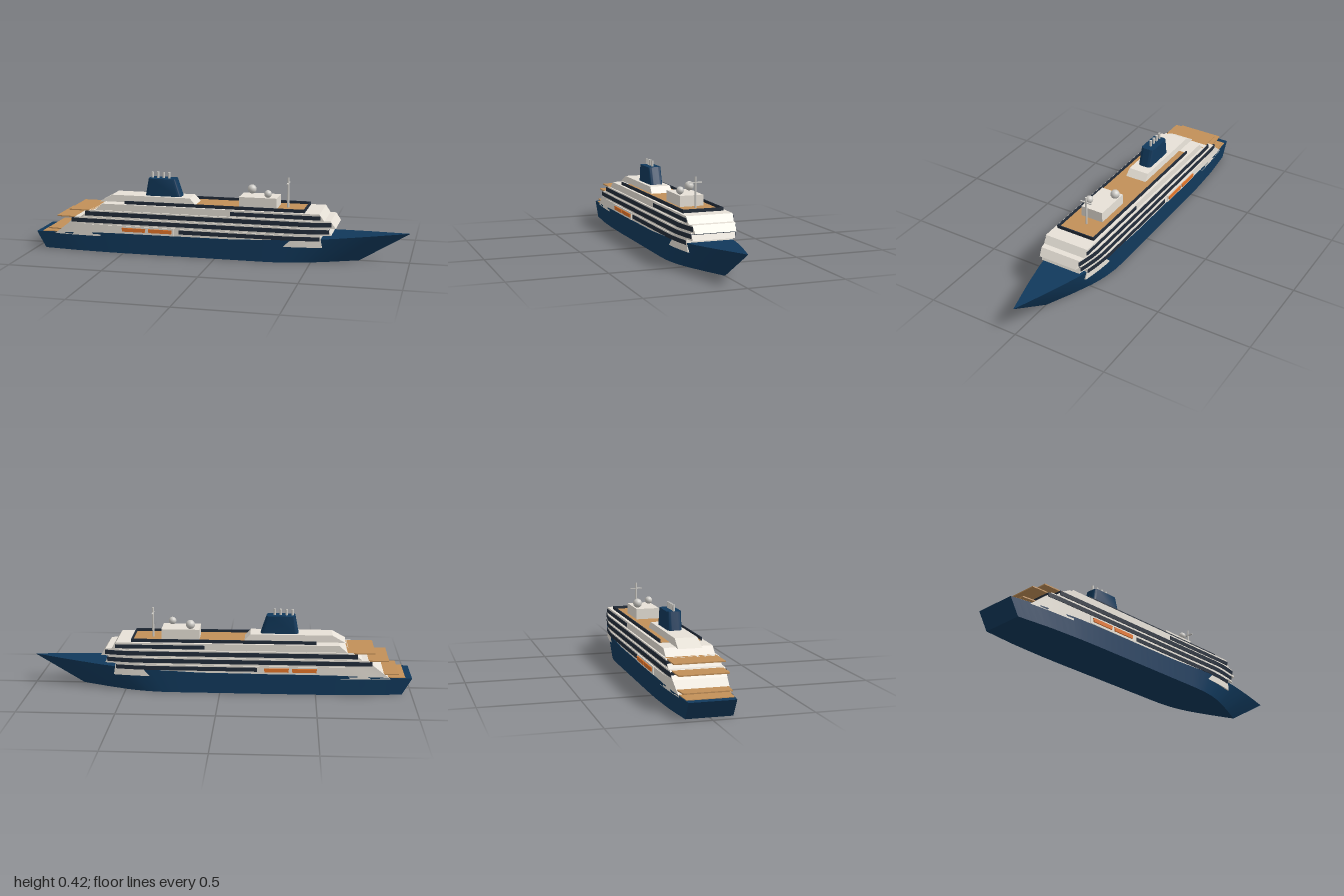
import * as THREE from 'three';
import { toCreasedNormals } from 'three/addons/utils/BufferGeometryUtils.js';

const mat = (name, color, side = THREE.FrontSide) => {
  const m = new THREE.MeshStandardMaterial({ color, side });
  m.name = name;
  return m;
};

// Linear lookup in a short list of [x, value] points
const lookup = (pts) => (x) => {
  for (let i = 1; i < pts.length; i++) {
    const [x0, v0] = pts[i - 1], [x1, v1] = pts[i];
    if (x <= x1) return v0 + (v1 - v0) * Math.max(0, (x - x0) / (x1 - x0));
  }
  return pts[pts.length - 1][1];
};
const beam = lookup([[-1, 0.115], [-0.8, 0.134], [-0.6, 0.143], [-0.45, 0.145], [0.28, 0.145],
  [0.38, 0.142], [0.48, 0.133], [0.56, 0.12], [0.63, 0.106], [0.8, 0.061], [1, 0.0005]]);
const sheer = lookup([[-1, 0.088], [-0.6, 0.106], [0.1, 0.109], [0.35, 0.12], [0.6, 0.132], [1, 0.156]]);

// Closed solid through four-cornered sections; section(t) gives bottom and top [x, y, halfWidth]
function loft(n, section) {
  const pos = [], index = [];
  for (let i = 0; i <= n; i++) {
    const [[xb, yb, wb], [xt, yt, wt]] = section(i / n);
    pos.push(xb, yb, wb, xb, yb, -wb, xt, yt, -wt, xt, yt, wt);
  }
  for (let i = 0; i < n; i++) {
    for (let j = 0; j < 4; j++) {
      const a = i * 4 + j, b = i * 4 + (j + 1) % 4;
      index.push(a, b, b + 4, a, b + 4, a + 4);
    }
  }
  const e = n * 4;
  index.push(0, 2, 1, 0, 3, 2, e, e + 1, e + 2, e, e + 2, e + 3);
  const g = new THREE.BufferGeometry();
  g.setAttribute('position', new THREE.Float32BufferAttribute(pos, 3));
  g.setIndex(index);
  return toCreasedNormals(g, 0.5);
}

// Deck tier following the hull plan, with sloping ends and a greatest half width
function tier(y0, y1, [aftB, aftT], [foreB, foreT], cap, grow = 0) {
  const w = (x) => Math.min(cap, beam(x)) + grow;
  return loft(28, (t) => {
    const xb = aftB + (foreB - aftB) * t, xt = aftT + (foreT - aftT) * t;
    return [[xb, y0, w(xb)], [xt, y1, w(xt)]];
  });
}

export function createModel() {
  const ship = new THREE.Group();
  ship.name = 'cruiseShip';
  const navy = mat('navy paint', 0x11395c);
  const white = mat('warm white', 0xe8e2d8);
  const teak = mat('teak deck', 0xc29058);
  const glass = mat('dark glass', 0x222c3a);
  const orange = mat('lifeboat orange', 0xe5762a);
  const grey = mat('light grey', 0xcfcdc8);

  const add = (name, geo, material, x = 0, y = 0, z = 0) => {
    const m = new THREE.Mesh(geo, material);
    m.name = name;
    m.position.set(x, y, z);
    ship.add(m);
    return m;
  };
  const box = (name, material, x0, x1, y0, y1, z0, z1) =>
    add(name, new THREE.BoxGeometry(x1 - x0, y1 - y0, z1 - z0), material,
      (x0 + x1) / 2, (y0 + y1) / 2, (z0 + z1) / 2);

  // Hull with raked stem and stern
  add('hull', loft(48, (t) => {
    const x = -1 + 2 * t, w = beam(x);
    const xb = x < -0.5 ? -0.5 + (x + 0.5) * 0.9 : x > 0.2 ? 0.2 + (x - 0.2) * 0.675 : x;
    return [[xb, 0, w], [x, sheer(x), w]];
  }), navy);
  add('mainAftDeck', loft(8, (t) => {
    const x = -0.965 + 0.165 * t, w = beam(x) - 0.004;
    return [[x, 0.08, w], [x, sheer(x) + 0.003, w]];
  }), teak);

  // Stepped superstructure: [y0, y1, aft x bottom/top, fore x bottom/top, half width]
  const tiers = [
    [0.085, 0.148, [-0.89, -0.81], [0.56, 0.55], 0.142],
    [0.148, 0.186, [-0.81, -0.77], [0.605, 0.59], 0.137],
    [0.186, 0.224, [-0.74, -0.69], [0.628, 0.602], 0.132],
    [0.224, 0.26, [-0.66, -0.62], [0.57, 0.545], 0.123],
  ];
  tiers.forEach((t, i) => add('deckTier' + (i + 1), tier(...t), white));

  // Window bands wrapped along the sides: [y0, y1, aft x, fore x, half width]
  [
    [0.12, 0.141, -0.195, 0.548, 0.142],
    [0.157, 0.179, -0.79, 0.594, 0.137],
    [0.194, 0.217, -0.715, 0.606, 0.132],
    [0.23, 0.25, 0.08, 0.55, 0.123],
  ].forEach(([y0, y1, a, f, cap], i) =>
    add('windowBand' + (i + 1), tier(y0, y1, [a, a], [f, f], cap, 0.003), glass));

  // Terraced aft decks
  [[0.111, -0.93, -0.84], [0.182, -0.877, -0.76], [0.221, -0.805, -0.65]].forEach(([y, a, f], i) =>
    add('aftTerrace' + (i + 1), tier(y - 0.003, y + 0.003, [a, a], [f, f], 0.13, -0.004), teak));

  // Sun deck with dark windscreen on three sides
  box('sunDeck', teak, -0.5, 0.462, 0.255, 0.263, -0.104, 0.104);
  for (const s of [-1, 1])
    box('sideWindscreen', glass, -0.5, 0.466, 0.259, 0.277, s * 0.105 - 0.003, s * 0.105 + 0.003);
  box('foreWindscreen', glass, 0.46, 0.466, 0.259, 0.277, -0.105, 0.105);

  // Lifeboats in pale bays on both sides
  for (const s of [-1, 1]) {
    box('lifeboatBay', white, -0.52, -0.22, 0.108, 0.149, s * 0.143 - 0.003, s * 0.143 + 0.003);
    for (const x of [-0.44, -0.295]) {
      const boat = add('lifeboat', new THREE.BoxGeometry(0.13, 0.02, 0.014), orange, x, 0.13, s * 0.145);
      const p = boat.geometry.attributes.position;
      for (let i = 0; i < p.count; i++) if (p.getY(i) < 0) p.setX(i, p.getX(i) * 0.95);
      boat.geometry.computeVertexNormals();
    }
  }

  // Funnel base house, funnel and exhaust pipes
  add('funnelHouse', loft(1, (t) => [
    [t ? -0.12 : -0.655, 0.258, 0.06], [t ? -0.155 : -0.585, 0.297, 0.057]]), white);
  const plan = new THREE.Shape();
  const L = 0.1, W = 0.037, r = 0.02;
  plan.absarc(L - r, W - r, r, 0, Math.PI / 2);
  plan.absarc(r - L, W - r, r, Math.PI / 2, Math.PI);
  plan.absarc(r - L, r - W, r, Math.PI, Math.PI * 1.5);
  plan.absarc(L - r, r - W, r, Math.PI * 1.5, Math.PI * 2);
  let funnel = new THREE.ExtrudeGeometry(plan, { depth: 0.095, bevelEnabled: false, curveSegments: 5 });
  funnel.rotateX(-Math.PI / 2);
  const fp = funnel.attributes.position;
  for (let i = 0; i < fp.count; i++) if (fp.getY(i) > 0.05) fp.setX(i, fp.getX(i) * 0.75 - 0.007);
  funnel = toCreasedNormals(funnel, 0.6);
  add('funnel', funnel, navy, -0.308, 0.295, 0);
  for (let i = 0; i < 4; i++)
    add('exhaustPipe', new THREE.CylinderGeometry(0.007, 0.007, 0.05, 10), grey, -0.375 + i * 0.031, 0.397, 0);

  // Radar house with two domes
  box('radarHouse', white, 0.112, 0.312, 0.26, 0.319, -0.0625, 0.0625);
  add('largeDome', new THREE.SphereGeometry(0.024, 16, 12), grey, 0.16, 0.343, -0.045);
  add('smallDome', new THREE.SphereGeometry(0.02, 16, 12), grey, 0.263, 0.339, 0.045);

  // Mast and crossbar
  add('mast', new THREE.CylinderGeometry(0.005, 0.006, 0.162, 10), grey, 0.362, 0.341, 0);
  box('mastCrossbar', grey, 0.358, 0.366, 0.389, 0.394, -0.032, 0.032);

  return ship;
}
